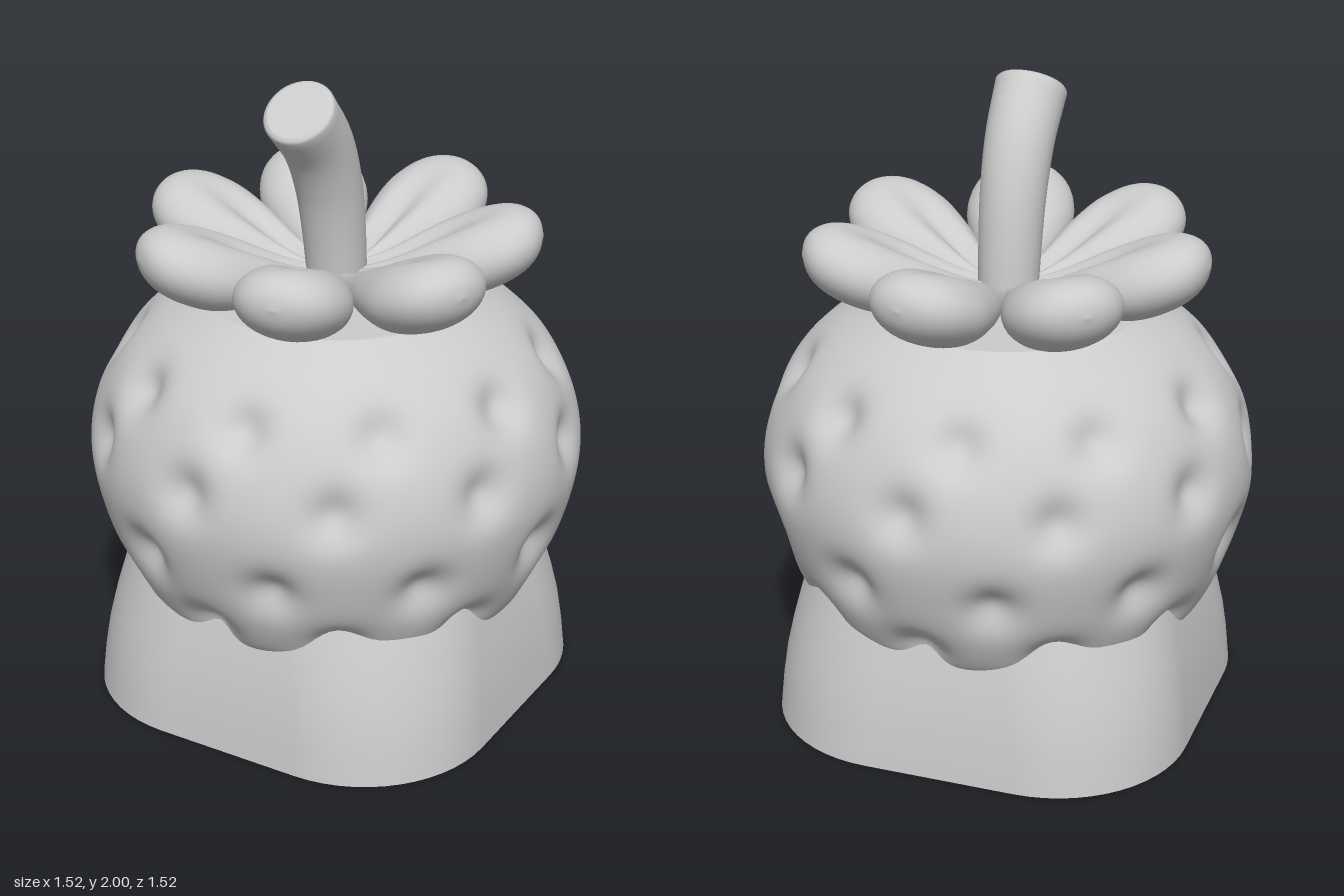
import * as THREE from 'three';

const V = (x, y, z) => new THREE.Vector3(x, y, z);
const material = new THREE.MeshStandardMaterial({ color: 0xcccccc });

// Skin over closed rings of points; caps get their own vertices so their edges stay sharp
function loft(rings, capStart = false, capEnd = false) {
  const n = rings[0].length, pts = rings.flat(), index = [];
  for (let j = 0; j < rings.length - 1; j++) {
    for (let i = 0; i < n; i++) {
      const a = j * n + i, b = j * n + (i + 1) % n;
      index.push(a, b, b + n, a, b + n, a + n);
    }
  }
  const cap = (ring, flip) => {
    const start = pts.length;
    const centre = ring.reduce((s, p) => s.add(p), V(0, 0, 0)).divideScalar(n);
    pts.push(...ring, centre);
    for (let i = 0; i < n; i++) {
      const a = start + i, b = start + (i + 1) % n;
      index.push(start + n, flip ? b : a, flip ? a : b);
    }
  };
  if (capStart) cap(rings[0], true);
  if (capEnd) cap(rings[rings.length - 1], false);
  const g = new THREE.BufferGeometry().setFromPoints(pts);
  g.setIndex(index);
  g.computeVertexNormals();
  return g;
}

function add(parent, name, geometry) {
  const mesh = new THREE.Mesh(geometry, material);
  mesh.name = name;
  parent.add(mesh);
  return mesh;
}

// Horizontal ring shaped as a square with large rounded corners
function squareRing(half, corner, y) {
  const ring = [], steps = 14;
  for (let k = 0; k < 4; k++) {
    const mid = (k + 0.5) * Math.PI / 2;
    const cx = Math.sign(Math.sin(mid)) * (half - corner);
    const cz = Math.sign(Math.cos(mid)) * (half - corner);
    for (let i = 0; i <= steps; i++) {
      const a = (k + i / steps) * Math.PI / 2;
      ring.push(V(cx + corner * Math.sin(a), y, cz + corner * Math.cos(a)));
    }
  }
  return ring;
}

// Hollow base: outer skirt, bottom rim, inner walls with ceiling
function makeBase() {
  const base = new THREE.Group();
  base.name = 'base';
  const outer = [[0.66, 0], [0.652, 0.1], [0.64, 0.2], [0.622, 0.3], [0.6, 0.4], [0.575, 0.5]];
  add(base, 'outerSkirt', loft(outer.map(([h, y]) => squareRing(h, 0.42, y))));
  add(base, 'bottomRim', loft([squareRing(0.55, 0.38, 0), squareRing(0.66, 0.42, 0)]));
  const inner = [[0.49, 0.3], [0.525, 0.15], [0.55, 0]];
  add(base, 'innerWalls', loft(inner.map(([h, y]) => squareRing(h, 0.38, y)), true));

  // Mounting post with a cross-shaped socket
  const disc = new THREE.Shape().absarc(0, 0, 0.2, 0, Math.PI * 2);
  const L = 0.145, w = 0.045;
  const cross = [[L, w], [w, w], [w, L], [-w, L], [-w, w], [-L, w],
    [-L, -w], [-w, -w], [-w, -L], [w, -L], [w, -w], [L, -w]];
  disc.holes.push(new THREE.Path(cross.map(([x, y]) => new THREE.Vector2(x, y))));
  const post = new THREE.ExtrudeGeometry(disc, { depth: 0.31, bevelEnabled: false, curveSegments: 32 });
  post.rotateX(-Math.PI / 2);
  add(base, 'mountingPost', post);
  return base;
}

// Berry body: lathe-like rings pushed in by rows of seed dimples
function makeBerry() {
  const profile = new THREE.CatmullRomCurve3([
    [0.58, 0.33], [0.635, 0.4], [0.72, 0.6], [0.76, 0.8], [0.74, 0.95],
    [0.66, 1.12], [0.56, 1.225], [0.42, 1.32]].map(([r, y]) => V(r, y, 0)));
  const radiusAt = (y) => {
    let lo = 0, hi = 1;
    for (let k = 0; k < 20; k++) {
      const m = (lo + hi) / 2;
      if (profile.getPoint(m).y < y) lo = m; else hi = m;
    }
    return profile.getPoint(lo).x;
  };
  const dimples = [];
  for (const [y, offset] of [[1.12, 6], [0.91, -6], [0.63, 15], [0.42, -5]]) {
    for (let i = 0; i < 10; i++) {
      const a = THREE.MathUtils.degToRad(offset + 36 * i), r = radiusAt(y);
      dimples.push(V(r * Math.sin(a), y, r * Math.cos(a)));
    }
  }
  const rings = [], rows = 80, n = 200, centre = V(0, 0.8, 0);
  for (let j = 0; j <= rows; j++) {
    const p = profile.getPointAt(j / rows), ring = [];
    for (let i = 0; i < n; i++) {
      const a = i / n * Math.PI * 2;
      const v = V(p.x * Math.sin(a), p.y, p.x * Math.cos(a));
      let push = 0;
      for (const d of dimples) push += 0.05 * Math.exp(-v.distanceToSquared(d) / 0.0062);
      const inward = centre.clone().sub(v).normalize();
      if (j < rows) v.addScaledVector(inward, push);
      ring.push(v);
    }
    rings.push(ring);
  }
  return loft(rings, true, true);
}

// Plump leaf pointing along +z, rising to a round tip, with a groove on top
function makeLeaf() {
  // x: half width, y: centre height, z: distance from the middle
  const spine = new THREE.CatmullRomCurve3([
    V(0.03, 1.35, 0.02), V(0.075, 1.37, 0.15), V(0.14, 1.405, 0.3), V(0.17, 1.435, 0.42),
    V(0.155, 1.465, 0.52), V(0.115, 1.48, 0.58), V(0.065, 1.487, 0.61), V(0.001, 1.49, 0.622)]);
  const rings = [], n = 40, rows = 36;
  for (let j = 0; j <= rows; j++) {
    const p = spine.getPointAt(j / rows), ring = [];
    const groove = 0.045 * THREE.MathUtils.smoothstep(0.56 - p.z, 0, 0.3);
    for (let i = 0; i < n; i++) {
      const a = i / n * Math.PI * 2, c = Math.cos(a), s = Math.sin(a);
      const dip = s > 0 ? groove * Math.exp(-c * c / 0.1) : 0;
      ring.push(V(p.x * c, Math.max(1.315, p.y + 0.71 * p.x * s - dip), p.z));
    }
    rings.push(ring);
  }
  return loft(rings, true, true);
}

// Stalk bending forward, slightly thicker toward its cut end
function makeStalk() {
  const path = new THREE.CatmullRomCurve3([
    V(0, 1.3, -0.01), V(0, 1.5, 0.012), V(0, 1.66, 0.045), V(0, 1.8, 0.105), V(0, 1.925, 0.208)]);
  const rings = [], side = V(1, 0, 0), rows = 24, n = 40;
  const addRing = (t, r, ahead) => {
    const tangent = path.getTangentAt(t), up = tangent.clone().cross(side);
    const c = path.getPointAt(t).addScaledVector(tangent, ahead);
    rings.push(Array.from({ length: n }, (_, i) => {
      const a = i / n * Math.PI * 2;
      return c.clone().addScaledVector(side, r * Math.cos(a)).addScaledVector(up, r * Math.sin(a));
    }));
  };
  for (let j = 0; j <= rows; j++) addRing(j / rows, 0.09 + 0.02 * (j / rows), 0);
  addRing(1, 0.104, 0.008);
  addRing(1, 0.094, 0.012);
  return loft(rings, false, true);
}

export function createModel() {
  const model = new THREE.Group();
  model.name = 'berryCap';
  model.add(makeBase());
  add(model, 'berry', makeBerry());

  const leaves = new THREE.Group();
  leaves.name = 'leaves';
  const leaf = makeLeaf();
  for (let i = 0; i < 7; i++) {
    add(leaves, 'leaf', leaf).rotation.y = THREE.MathUtils.degToRad(14) + i / 7 * Math.PI * 2;
  }
  model.add(leaves);
  add(model, 'stalk', makeStalk());
  return model;
}
